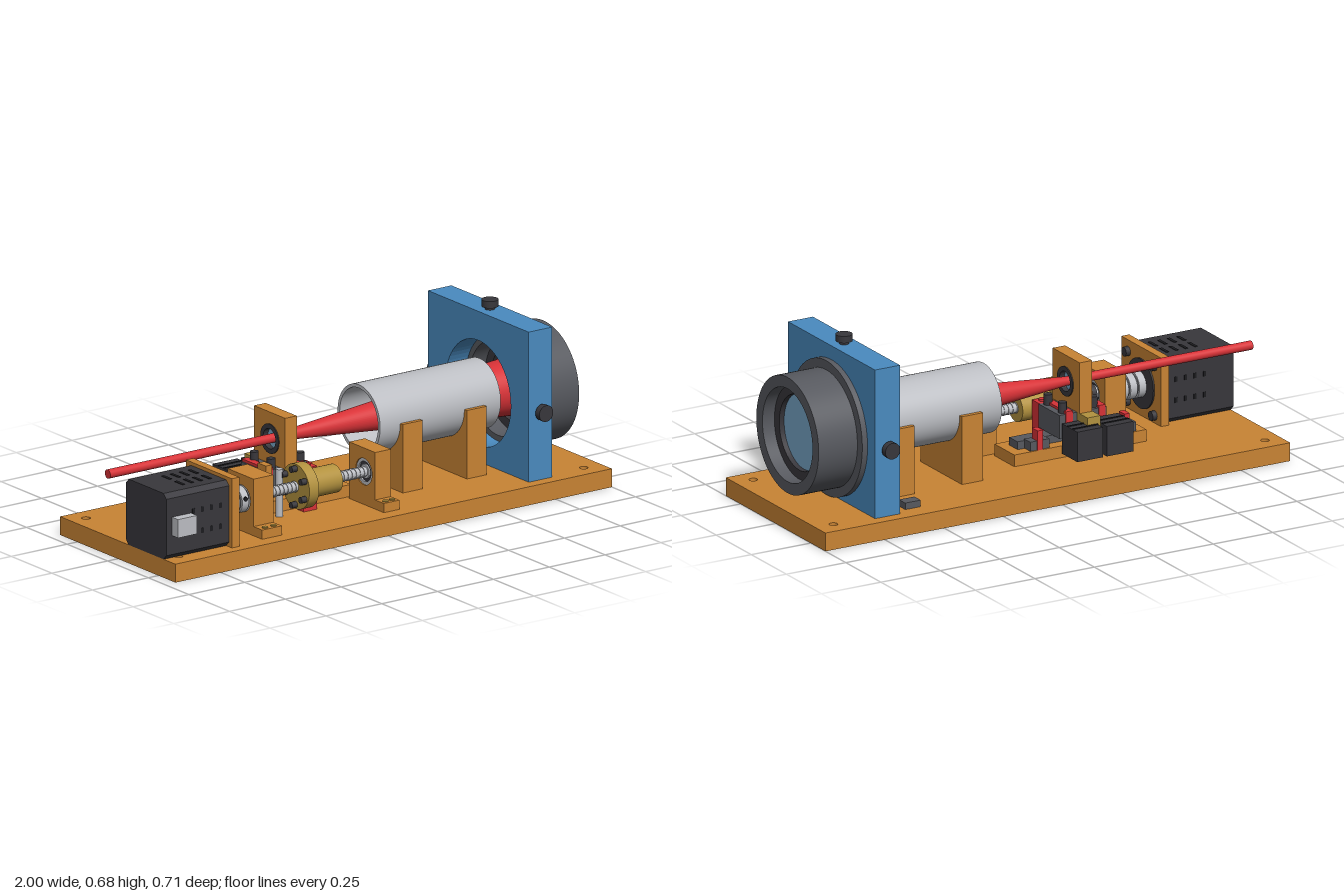
import * as THREE from 'three';
import { toCreasedNormals } from 'three/addons/utils/BufferGeometryUtils.js';

const material = (name, color) => {
  const m = new THREE.MeshStandardMaterial({ color });
  m.name = name;
  return m;
};

export function createModel() {
  const model = new THREE.Group();
  model.name = 'opticalBench';
  const orange = material('orange', 0xc98434);
  const blue = material('blue', 0x4a8bc0);
  const dark = material('charcoal', 0x38373c);
  const grey = material('grey', 0x57595f);
  const black = material('black', 0x1c1c1f);
  const silver = material('silver', 0xbcbec3);
  const red = material('red', 0xd83237);
  const brass = material('brass', 0xb3923f);
  const glass = material('glass', 0x78a7c9);

  const OPTIC_Y = 0.33, SCREW_Y = 0.195, SCREW_Z = 0.175;

  const add = (name, geometry, mat) => {
    const mesh = new THREE.Mesh(geometry, mat);
    mesh.name = name;
    model.add(mesh);
    return mesh;
  };
  // Box given by its limits
  const box = (name, mat, x0, x1, y0, y1, z0, z1) =>
    add(name, new THREE.BoxGeometry(x1 - x0, y1 - y0, z1 - z0), mat)
      .position.set((x0 + x1) / 2, (y0 + y1) / 2, (z0 + z1) / 2);
  // Cylinder along one axis, from a to b
  const rod = (name, mat, axis, r, a, b, u, v, r2 = r, n = 32) => {
    const mesh = add(name, new THREE.CylinderGeometry(r2, r, b - a, n), mat);
    const m = (a + b) / 2;
    if (axis === 'x') { mesh.rotation.z = -Math.PI / 2; mesh.position.set(m, u, v); }
    if (axis === 'y') mesh.position.set(u, m, v);
    if (axis === 'z') { mesh.rotation.x = Math.PI / 2; mesh.position.set(u, v, m); }
  };
  // Solid of revolution about x, from [radius, x] pairs
  const turned = (name, mat, pts, y, z, n = 64) => {
    const geo = new THREE.LatheGeometry(pts.map(p => new THREE.Vector2(...p)), n);
    const mesh = add(name, toCreasedNormals(geo, 0.6), mat);
    mesh.rotation.z = -Math.PI / 2;
    mesh.position.set(0, y, z);
  };
  const ring = (name, mat, rOut, rIn, x0, x1, y, z) =>
    turned(name, mat, [[rIn, x0], [rOut, x0], [rOut, x1], [rIn, x1], [rIn, x0]], y, z);
  const rect = (u0, u1, v0, v1) => new THREE.Shape([
    new THREE.Vector2(u0, v0), new THREE.Vector2(u1, v0),
    new THREE.Vector2(u1, v1), new THREE.Vector2(u0, v1)]);
  const hole = (shape, u, v, r) =>
    shape.holes.push(new THREE.Path().absarc(u, v, r, 0, Math.PI * 2, true));
  // Plate drawn in (-z, y) and extruded along x
  const slab = (name, mat, shape, x0, x1) => {
    const geo = new THREE.ExtrudeGeometry(shape, { depth: x1 - x0, bevelEnabled: false, curveSegments: 32 });
    const mesh = add(name, geo, mat);
    mesh.rotation.y = Math.PI / 2;
    mesh.position.x = x0;
  };

  // Base board with four corner holes
  const board = rect(-0.955, 1, -0.355, 0.355);
  for (const x of [-0.89, 0.925]) for (const z of [-0.285, 0.285]) hole(board, x, z, 0.016);
  const base = add('baseBoard', new THREE.ExtrudeGeometry(board, { depth: 0.07, bevelEnabled: false }), orange);
  base.rotation.x = -Math.PI / 2;

  // Objective mount: square plate with bore and three adjusting knobs
  const plate = rect(-0.31, 0.31, 0.07, 0.64);
  hole(plate, 0, OPTIC_Y, 0.2);
  slab('mountPlate', blue, plate, 0.66, 0.765);
  rod('topKnobNeck', dark, 'y', 0.018, 0.64, 0.651, 0.712, 0);
  rod('topKnob', dark, 'y', 0.031, 0.651, 0.677, 0.712, 0);
  for (const s of [-1, 1]) {
    const span = (a, b) => (s > 0 ? [a, b] : [-b, -a]);
    rod('sideKnobNeck', dark, 'z', 0.018, ...span(0.31, 0.322), 0.712, OPTIC_Y);
    rod('sideKnob', dark, 'z', 0.031, ...span(0.322, 0.347), 0.712, OPTIC_Y);
  }

  // Objective housing, retaining ring and lens
  turned('lensHousing', grey, [[0.178, 0.75], [0.2, 0.75], [0.2, 0.765], [0.257, 0.765], [0.257, 0.787],
    [0.222, 0.787], [0.222, 0.95], [0.178, 0.95], [0.178, 0.75]], OPTIC_Y, 0, 96);
  ring('retainingRing', dark, 0.179, 0.143, 0.82, 0.9, OPTIC_Y, 0);
  rod('objectiveLens', glass, 'x', 0.144, 0.85, 0.88, OPTIC_Y, 0, 0.144, 64);

  // Beam: narrow input, then spreading to the objective
  rod('narrowBeam', red, 'x', 0.017, -1, -0.22, OPTIC_Y, 0);
  rod('spreadingBeam', red, 'x', 0.017, -0.22, 0.85, OPTIC_Y, 0, 0.112, 48);

  // Tube and its two cradles
  ring('opticalTube', silver, 0.131, 0.118, 0.125, 0.665, OPTIC_Y, 0);
  const cradle = new THREE.Shape();
  cradle.moveTo(-0.147, 0.07);
  cradle.lineTo(0.147, 0.07);
  cradle.lineTo(0.147, OPTIC_Y);
  cradle.lineTo(0.131, OPTIC_Y);
  cradle.absarc(0, OPTIC_Y, 0.131, 0, Math.PI, true);
  cradle.lineTo(-0.147, OPTIC_Y);
  for (const x of [0.215, 0.502]) slab('tubeCradle', orange, cradle, x, x + 0.088);
  box('sensorBlock', grey, 0.555, 0.62, 0.07, 0.095, -0.28, -0.235);

  // Motor with chamfered edges, vent slots and connector
  const c = 0.018;
  const motor = new THREE.Shape([[-0.3 + c, 0.07], [-0.05 - c, 0.07], [-0.05, 0.07 + c], [-0.05, 0.32 - c],
    [-0.05 - c, 0.32], [-0.3 + c, 0.32], [-0.3, 0.32 - c], [-0.3, 0.07 + c]].map(p => new THREE.Vector2(...p)));
  slab('motorBody', dark, motor, -0.955, -0.675);
  for (let i = 0; i < 4; i++) {
    const x = -0.84 + i * 0.04;
    for (const k of [-0.04, 0.04]) {
      box('topVent', black, x, x + 0.012, 0.319, 0.322, SCREW_Z + k - 0.025, SCREW_Z + k + 0.025);
      for (const z of [0.049, 0.299]) box('sideVent', black, x, x + 0.012, SCREW_Y + k - 0.01, SCREW_Y + k + 0.01, z, z + 0.002);
    }
  }
  box('motorConnector', silver, -0.93, -0.845, 0.16, 0.23, 0.3, 0.337);

  // Motor bracket, boss and corner bolts
  box('motorBracket', orange, -0.675, -0.642, 0.07, 0.333, 0.035, 0.318);
  rod('motorBoss', dark, 'x', 0.095, -0.642, -0.636, SCREW_Y, SCREW_Z);
  for (const y of [-0.095, 0.095]) for (const z of [-0.095, 0.095])
    rod('bracketBolt', dark, 'x', 0.018, -0.642, -0.624, SCREW_Y + y, SCREW_Z + z, 0.018, 16);

  // Shaft coupling with clamp grooves
  for (let i = 0; i < 3; i++)
    rod('couplingRing', silver, 'x', 0.05, -0.634 + i * 0.037, -0.605 + i * 0.037, SCREW_Y, SCREW_Z);
  rod('couplingCore', grey, 'x', 0.042, -0.63, -0.53, SCREW_Y, SCREW_Z);
  for (const x of [-0.62, -0.545]) rod('couplingScrew', black, 'z', 0.009, 0.2, 0.226, x, SCREW_Y + 0.012, 0.009, 12);

  // Lead screw with thread ridges
  rod('leadScrew', silver, 'x', 0.018, -0.63, 0.1, SCREW_Y, SCREW_Z);
  for (let x = -0.405; x < 0.015; x += 0.018)
    rod('threadRidge', silver, 'x', 0.021, x, x + 0.008, SCREW_Y, SCREW_Z, 0.021, 20);
  rod('screwCollar', dark, 'x', 0.034, -0.437, -0.415, SCREW_Y, SCREW_Z);

  // Bearing blocks with a screwed foot
  for (const [x0, x1] of [[-0.525, -0.436], [0.02, 0.09]]) {
    const block = rect(-0.245, -0.085, 0.07, 0.285);
    hole(block, -SCREW_Z, SCREW_Y, 0.05);
    slab('bearingBlock', orange, block, x0, x1);
    box('bearingFoot', orange, x0, x1, 0.07, 0.105, 0.245, 0.298);
    ring('bearingOuterRing', silver, 0.05, 0.038, x0 + 0.004, x1 - 0.004, SCREW_Y, SCREW_Z);
    ring('bearingSeal', dark, 0.038, 0.026, x0 + 0.01, x1 - 0.01, SCREW_Y, SCREW_Z);
    ring('bearingInnerRing', silver, 0.027, 0.017, x0 + 0.004, x1 - 0.004, SCREW_Y, SCREW_Z);
    for (const t of [0.28, 0.72])
      rod('footScrew', brass, 'y', 0.011, 0.105, 0.109, x0 + (x1 - x0) * t, 0.28, 0.011, 16);
  }

  // Flanged nut
  rod('nutFlange', brass, 'x', 0.085, -0.285, -0.242, SCREW_Y, SCREW_Z, 0.085, 48);
  rod('nutBody', brass, 'x', 0.053, -0.242, -0.112, SCREW_Y, SCREW_Z, 0.053, 48);
  for (let i = 0; i < 6; i++) {
    const a = Math.PI / 6 + i * Math.PI / 3;
    rod('nutBolt', dark, 'x', 0.012, -0.308, -0.285, SCREW_Y + 0.068 * Math.sin(a), SCREW_Z + 0.068 * Math.cos(a), 0.012, 12);
  }

  // Slide: rail bed, rail, end stops and carriage
  box('railBed', orange, -0.515, 0.04, 0.07, 0.115, -0.075, 0.067);
  box('slideRail', grey, -0.48, 0, 0.115, 0.145, -0.03, 0.03);
  for (const x of [-0.445, -0.08]) {
    box('endStop', grey, x - 0.03, x + 0.05, 0.115, 0.15, -0.07, -0.025);
    box('endSwitch', red, x, x + 0.022, 0.115, 0.19, -0.075, -0.035);
  }
  box('carriage', grey, -0.345, -0.147, 0.145, 0.235, -0.08, 0.068);
  for (const x of [-0.325, -0.187]) box('carriageClip', red, x - 0.014, x + 0.014, 0.15, 0.245, -0.083, 0.071);
  for (const x of [-0.305, -0.175]) for (const z of [-0.053, 0.05]) {
    rod('carriageScrew', dark, 'y', 0.016, 0.235, 0.275, x, z, 0.016, 16);
  }
  box('carriageSwitch', red, -0.21, -0.15, 0.07, 0.235, 0.068, 0.121);
  rod('switchButton', red, 'y', 0.015, 0.235, 0.243, -0.18, 0.095, 0.015, 20);
  box('nutLink', orange, -0.35, -0.322, 0.16, 0.26, 0.03, 0.08);
  rod('linkPin', silver, 'y', 0.014, 0.07, 0.25, -0.31, 0.108, 0.014, 20);

  // Small ribbed drives and brass plug behind the carriage
  for (const [x0, x1] of [[-0.388, -0.277], [-0.26, -0.153]]) {
    box('driveBox', dark, x0, x1, 0.09, 0.205, -0.197, -0.088);
    for (const z of [-0.165, -0.13]) box('driveRib', black, x0, x1, 0.204, 0.208, z, z + 0.006);
  }
  box('brassPlug', brass, -0.275, -0.22, 0.19, 0.235, -0.155, -0.08);

  // Lens holder on the carriage
  const holder = rect(-0.092, 0.1, 0.235, 0.43);
  hole(holder, 0, OPTIC_Y, 0.055);
  slab('lensHolder', orange, holder, -0.272, -0.22);
  ring('holderRing', dark, 0.056, 0.038, -0.276, -0.216, OPTIC_Y, 0);
  rod('smallLens', glass, 'x', 0.039, -0.255, -0.237, OPTIC_Y, 0);

  return model;
}
